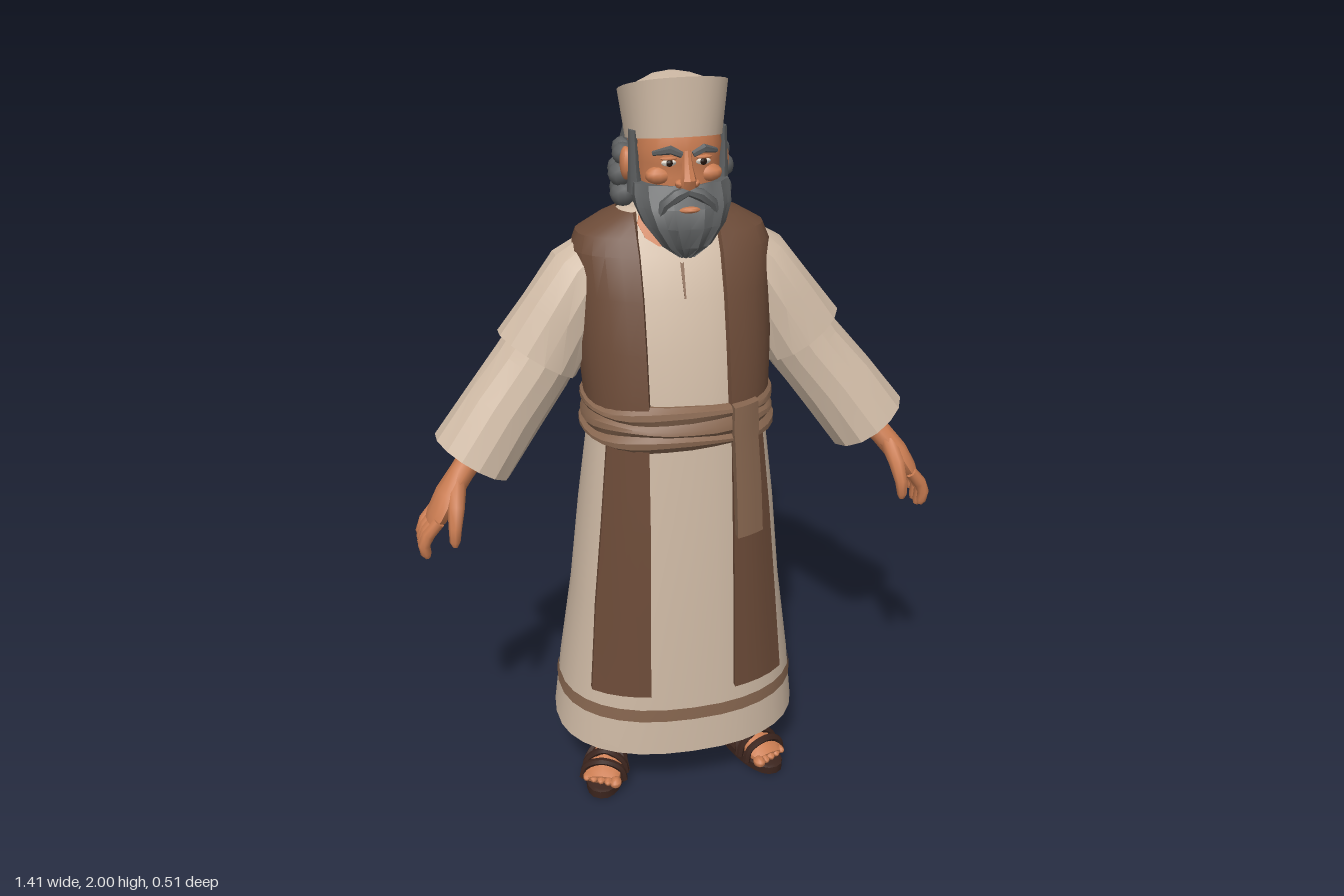
import * as THREE from 'three';
import { toCreasedNormals } from 'three/addons/utils/BufferGeometryUtils.js';

const V = (x, y, z) => new THREE.Vector3(x, y, z);
const spow = (v, e) => Math.sign(v) * Math.abs(v) ** e;
const N = 2.3; // roundness of body cross-sections

// Skin a stack of rings (arrays of Vector3) into a surface
function loft(rings, { closed = true, caps = true } = {}) {
  const n = rings[0].length, pos = [], idx = [];
  rings.forEach(r => r.forEach(p => pos.push(p.x, p.y, p.z)));
  const m = closed ? n : n - 1;
  for (let i = 0; i < rings.length - 1; i++)
    for (let j = 0; j < m; j++) {
      const a = i * n + j, b = i * n + (j + 1) % n;
      idx.push(a, b, b + n, a, b + n, a + n);
    }
  if (closed && caps) [0, rings.length - 1].forEach((ri, top) => {
    const c = rings[ri].reduce((s, p) => s.add(p), V(0, 0, 0)).divideScalar(n);
    const ci = pos.length / 3;
    pos.push(c.x, c.y, c.z);
    for (let j = 0; j < n; j++) {
      const a = ri * n + j, b = ri * n + (j + 1) % n;
      top ? idx.push(ci, a, b) : idx.push(ci, b, a);
    }
  });
  const g = new THREE.BufferGeometry();
  g.setAttribute('position', new THREE.Float32BufferAttribute(pos, 3));
  g.setIndex(idx);
  return g;
}

// Point and ring on a horizontal cross-section: half width, front z, back z
function onSection([y, rx, zf, zb], t, off = 0, slope = 0) {
  const cz = (zf + zb) / 2, rz = (zf - zb) / 2 + off;
  const z = cz + rz * spow(Math.cos(t), 2 / N);
  return V((rx + off) * spow(Math.sin(t), 2 / N), y + slope * z, z);
}
const ring = (s, off, slope, n = 32) =>
  Array.from({ length: n }, (_, j) => onSection(s, j / n * Math.PI * 2, off, slope));

// Tapered limb along [x, y, z, radiusU, radiusV] rows
function limb(rows, { n = 10, ref = V(0, 0, 1), dir = null, wob = 0 } = {}) {
  const pts = rows.map(r => V(r[0], r[1], r[2]));
  return loft(rows.map((r, i) => {
    const t = (dir ? dir.clone() : pts[Math.min(i + 1, pts.length - 1)].clone().sub(pts[Math.max(i - 1, 0)])).normalize();
    const u = ref.clone().addScaledVector(t, -ref.dot(t)).normalize();
    const v = t.clone().cross(u);
    return Array.from({ length: n }, (_, j) => {
      const a = j / n * Math.PI * 2, k = 1 + wob * Math.sin(3 * a + 2 * i);
      return pts[i].clone().addScaledVector(u, Math.cos(a) * r[3] * k).addScaledVector(v, Math.sin(a) * (r[4] ?? r[3]) * k);
    });
  }));
}
const ball = (x, y, z, rx, ry = rx, rz = rx) => new THREE.SphereGeometry(1, 12, 8).scale(rx, ry, rz).translate(x, y, z);

// Robe body: height, half width, front z, back z
const BODY = [
  [.17, .345, .25, -.245], [.35, .325, .248, -.225], [.6, .29, .24, -.2], [.85, .265, .23, -.17],
  [1.05, .24, .215, -.145], [1.12, .228, .21, -.135], [1.2, .232, .2, -.14], [1.32, .24, .175, -.165],
  [1.45, .24, .14, -.17], [1.55, .245, .095, -.16], [1.59, .23, .065, -.145], [1.625, .17, .045, -.125], [1.65, .11, .03, -.1],
];
function bodyAt(y) {
  const i = Math.max(0, BODY.findIndex((r, k) => k === BODY.length - 2 || BODY[k + 1][0] >= y));
  const a = BODY[i], b = BODY[i + 1], t = (y - a[0]) / (b[0] - a[0]);
  return a.map((v, k) => v + (b[k] - v) * t);
}
const hemSlope = y => -.08 * Math.max(0, Math.min(1, (.9 - y) / .6));

// Cloth strip lying on the front of the body; rows are [y, x0, x1]
function frontStrip(rows, off, back = -.01) {
  return loft(rows.map(([y, x0, x1]) => {
    const s = bodyAt(y), cz = (s[2] + s[3]) / 2, rz = (s[2] - s[3]) / 2;
    const at = (k, o) => {
      const x = x0 + (x1 - x0) * k;
      return V(x, y, cz + rz * Math.max(0, 1 - Math.abs(x / s[1]) ** N) ** (1 / N) + o);
    };
    return [0, .25, .5, .75, 1].map(k => at(k, off)).concat([1, .75, .5, .25, 0].map(k => at(k, back)));
  }));
}

export function createModel() {
  const model = new THREE.Group();
  const mat = (name, color, side = THREE.FrontSide) => new THREE.MeshStandardMaterial({ name, color, side });
  const cream = mat('cream cloth', 0xd0bba6, THREE.DoubleSide), brown = mat('brown cloth', 0x6c4b38, THREE.DoubleSide);
  const tan = mat('tan sash', 0x886750), skin = mat('skin', 0xcb7d52), grey = mat('grey hair', 0x5c5e5f);
  const leather = mat('dark leather', 0x3b241d), white = mat('eye white', 0xe4dcd0), dark = mat('dark eye', 0x24160f);

  const add = (name, geo, m, crease = .6) => {
    const mesh = new THREE.Mesh(toCreasedNormals(geo, crease), m);
    mesh.name = name;
    model.add(mesh);
  };
  // Adds the left part and its mirror image
  const pair = (name, geo, m, crease = .6) => {
    const g = geo.index ? geo.toNonIndexed() : geo.clone(), p = g.attributes.position.array;
    for (let i = 0; i < p.length; i += 9) {
      for (let k = 3; k < 6; k++) [p[i + k], p[i + k + 3]] = [p[i + k + 3], p[i + k]];
      for (let k = 0; k < 9; k += 3) p[i + k] *= -1;
    }
    add(name + 'Left', geo, m, crease);
    add(name + 'Right', g, m, crease);
  };

  // Robe with soft folds at the back, and its hem stripe
  const fold = (r, y, amt = .012) => r.map((p, j) => {
    const k = p.z < 0 ? 1 + amt * 4 * Math.max(0, 1 - y) * Math.cos(j * Math.PI / 2) * .5 : 1;
    return V(p.x * k, p.y, p.z * k);
  });
  add('robe', loft(BODY.map(s => fold(ring(s, 0, hemSlope(s[0])), s[0]))), cream, .4);
  add('hemStripe', loft([.28, .318].map(y => fold(ring(bodyAt(y), .004, -.08), y)), { caps: false }), tan);

  // Vest: open at the front, closed over the back
  const vestRows = [1.15, 1.2, 1.32, 1.45, 1.55, 1.59, 1.625, 1.644].map(bodyAt);
  add('vest', loft(vestRows.map(s => {
    const t0 = Math.asin((.108 / (s[1] + .014)) ** (N / 2)), pts = [onSection(s, t0, -.01)];
    for (let j = 0; j <= 28; j++) pts.push(onSection(s, t0 + (Math.PI - t0) * 2 * j / 28, .014));
    return [...pts, onSection(s, -t0, -.01)];
  }), { closed: false }), brown, .4);
  pair('vestPanel', frontStrip([[.35, .118, .268], [.6, .116, .25], [.85, .112, .228], [1.1, .11, .205]], .016), brown);

  // Neck opening and slit
  add('neckSkin', frontStrip([[1.572, -.055, .055], [1.59, -.085, .085], [1.62, -.1, .1], [1.645, -.09, .09]], .007), skin);
  add('neckSlit', frontStrip([[1.45, -.002, .002], [1.57, -.006, .006]], .004), tan);

  // Wrapped sash with hanging end
  const wraps = [.01, .024, .026, .016, .026, .024, .016, .024, .022, .008];
  add('sash', loft(wraps.map((o, i) => {
    const y = 1.07 + i * .0125;
    return ring(bodyAt(y), o).map((p, j) => V(p.x, p.y + .005 * Math.sin(j * .8 + i), p.z));
  })), tan, .5);
  add('sashEnd', frontStrip([[.82, .115, .192], [.95, .112, .188], [1.08, .108, .18], [1.12, .105, .182], [1.18, .108, .18]], .045, .012), tan, .4);

  // Sleeves: short upper layer over a wide lower one
  const along = V(.56, -.83, .05);
  pair('upperSleeve', limb([
    [.16, 1.545, -.04, .07, .07], [.22, 1.48, -.04, .095, .1], [.29, 1.37, -.035, .105, .11],
    [.355, 1.27, -.028, .11, .118], [.35, 1.278, -.028, .098, .104],
  ], { n: 14, dir: along, wob: .02 }), cream, .35);
  pair('lowerSleeve', limb([
    [.31, 1.33, -.03, .098, .1], [.37, 1.24, -.025, .102, .105], [.45, 1.14, -.008, .11, .108],
    [.54, 1.015, .012, .118, .112], [.537, 1.02, .012, .106, .1], [.49, 1.09, 0, .085, .085],
  ], { n: 14, dir: along, wob: .02 }), cream, .35);

  // Forearms, palms and fingers
  pair('hand', limb([
    [.48, 1.11, .005, .04], [.545, 1.02, .03, .036, .034], [.575, .985, .045, .038, .032],
    [.615, .935, .062, .058, .032], [.645, .885, .07, .062, .028], [.66, .865, .072, .05, .02],
  ]), skin, 1);
  [[.015, .79], [.05, .77], [.086, .768], [.12, .782]].forEach(([z, tip], i) => {
    const e = z * .8 + .018;
    pair('finger' + (i + 1), limb([
      [.645, .885, z, .016], [.675, .85, (z + e) / 2, .0175], [.688, .82, e, .016], [.684, tip + .012, e, .014], [.68, tip, e, .007],
    ], { n: 8 }), skin, 1);
  });
  pair('thumb', limb([
    [.59, .965, .075, .024], [.6, .92, .125, .022], [.607, .875, .147, .017], [.61, .84, .152, .014], [.61, .826, .152, .007],
  ], { n: 8, ref: V(1, 0, 0) }), skin, 1);

  // Feet and strapped sandals, turned outwards
  const place = g => g.rotateY(.33).translate(.205, 0, .055);
  const sole = (y, k) => Array.from({ length: 24 }, (_, j) => {
    const t = j / 24 * Math.PI * 2;
    return V((.054 + .012 * Math.cos(t)) * k * spow(Math.sin(t), .85), y, .165 * k * Math.cos(t));
  });
  pair('sole', place(loft([sole(0, 1), sole(.022, 1), sole(.026, .94)])), leather);
  pair('foot', place(limb([
    [0, .055, -.148, .022, .024], [0, .06, -.125, .04, .038], [0, .066, -.07, .052, .042], [0, .062, 0, .05, .044],
    [0, .05, .06, .034, .05], [0, .042, .11, .022, .052], [0, .038, .13, .014, .045],
  ], { ref: V(0, 1, 0) })), skin, 1);
  pair('ankle', place(limb([[0, .05, -.07, .046, .042], [0, .11, -.08, .044, .037], [0, .15, -.08, .038, .035], [0, .24, -.078, .046, .044]])), skin, 1);
  for (let i = 0; i < 5; i++) {
    const x = -.04 + i * .021, r = i === 0 ? .017 : .012;
    pair('toe' + (i + 1), place(ball(x, .038, .136 - i * .005, r, r * .9, .02)), skin, 1);
  }
  const strap = pts => place(new THREE.TubeGeometry(new THREE.CatmullRomCurve3(pts.map(p => V(...p))), 14, .0105, 6));
  [[.1, .1, .078], [.065, .065, .09], [-.06, .06, .1], [.06, -.06, .1]].forEach(([za, zb, top], i) => {
    const zm = (za + zb) / 2;
    pair('strap' + (i + 1), strap([
      [-.06, .022, za], [-.05, .06, za * .8 + zm * .2], [0, top + .006, zm + .005], [.05, .06, zb * .8 + zm * .2], [.06, .022, zb],
    ]), leather, 1);
  });
  pair('ankleStrap', place(new THREE.TorusGeometry(.044, .01, 6, 16).rotateX(Math.PI / 2 - .15).translate(0, .112, -.08)), leather, 1);
  pair('heelStrap', strap([[-.045, .022, -.09], [-.045, .07, -.1], [0, .085, -.135], [.045, .07, -.1], [.045, .022, -.09]]), leather, 1);

  // Head, neck and face
  add('neck', limb([[0, 1.55, -.025, .07, .08], [0, 1.63, -.015, .064, .07], [0, 1.72, 0, .07, .075]], { n: 14 }), skin, 1);
  add('head', loft([
    [1.62, .05, .1, -.05], [1.65, .08, .135, -.07], [1.7, .1, .145, -.1], [1.76, .109, .147, -.115],
    [1.79, .111, .145, -.12], [1.825, .112, .156, -.12], [1.88, .106, .132, -.12],
  ].map(s => ring(s, 0, 0, 20))), skin, .8);
  add('nose', limb([[0, 1.825, .148, .012, .011], [0, 1.79, .157, .014, .013], [0, 1.758, .168, .021, .02], [0, 1.74, .163, .016, .02]], { n: 8 }), skin, .7);
  pair('nostril', ball(.019, 1.748, .157, .012, .011, .014), skin, 1);
  pair('cheek', ball(.062, 1.762, .118, .034, .022, .025), skin, 1);
  pair('ear', ball(.122, 1.77, .018, .016, .042, .028), skin, 1);
  pair('eye', ball(.042, 1.797, .142, .019, .009, .008), white, 1);
  pair('pupil', ball(.042, 1.797, .148, .0085, .0085, .005), dark, 1);
  pair('eyelid', ball(.042, 1.808, .144, .022, .005, .009), skin, 1);
  pair('brow', limb([[.014, 1.818, .157, .008], [.04, 1.831, .156, .011], [.078, 1.818, .128, .006]], { n: 6, ref: V(0, 1, 0) }), grey, .8);

  // Beard, moustache and sideburns
  add('beard', loft([
    [1.565, .02, .165, .13], [1.595, .062, .187, .085], [1.645, .1, .196, .035], [1.69, .118, .182, .01], [1.715, .12, .16, 0], [1.74, .118, .142, 0],
  ].map(s => ring(s, 0, 0, 24).map((p, j) => V(p.x * (1 + .03 * (j % 2)), p.y, p.z + .006 * (j % 2))))), grey, .5);
  pair('moustache', limb([[0, 1.732, .166, .012], [.03, 1.724, .176, .016], [.06, 1.7, .168, .014], [.073, 1.665, .165, .006]], { n: 7, ref: V(0, .3, 1) }), grey, .8);
  add('lip', ball(0, 1.69, .184, .026, .008, .01), skin, 1);
  pair('sideburn', limb([[.108, 1.71, .055, .04, .02], [.111, 1.77, .058, .028, .014], [.112, 1.86, .05, .026, .01]], { n: 8 }), grey, .8);

  // Hair: a back mass covered in curls
  add('hairMass', loft([[1.665, .1, -.02, -.12], [1.7, .132, 0, -.135], [1.78, .13, 0, -.135], [1.86, .11, 0, -.115]].map(s => ring(s, 0, 0, 20))), grey, 1);
  [[1.685, 11, .124, .113, .034], [1.735, 12, .13, .115, .032], [1.785, 11, .122, .104, .029]].forEach(([y, n, rx, rz, r], row) => {
    for (let i = 0; i < n; i++) {
      const t = Math.PI / 2 + Math.PI * i / (n - 1);
      add('curl', new THREE.IcosahedronGeometry(r, 1).translate(rx * Math.sin(t), y + .007 * ((i + row) % 2), -.018 + rz * Math.cos(t)), grey, .8);
    }
  });

  // Tall flared cap, tilted back, with a domed crown inside the rim
  add('cap', loft([
    [1.832, .108, .13, -.12, .2], [1.828, .117, .144, -.132, .2], [1.953, .133, .143, -.158, .32], [1.952, .122, .132, -.147, .32],
    [1.936, .119, .129, -.144, .3], [1.962, .09, .1, -.11, .22], [1.978, .05, .055, -.065, .1], [1.983, .015, .015, -.025, 0],
  ].map(s => ring(s, 0, s[4], 28))), cream, .6);

  return model;
}
